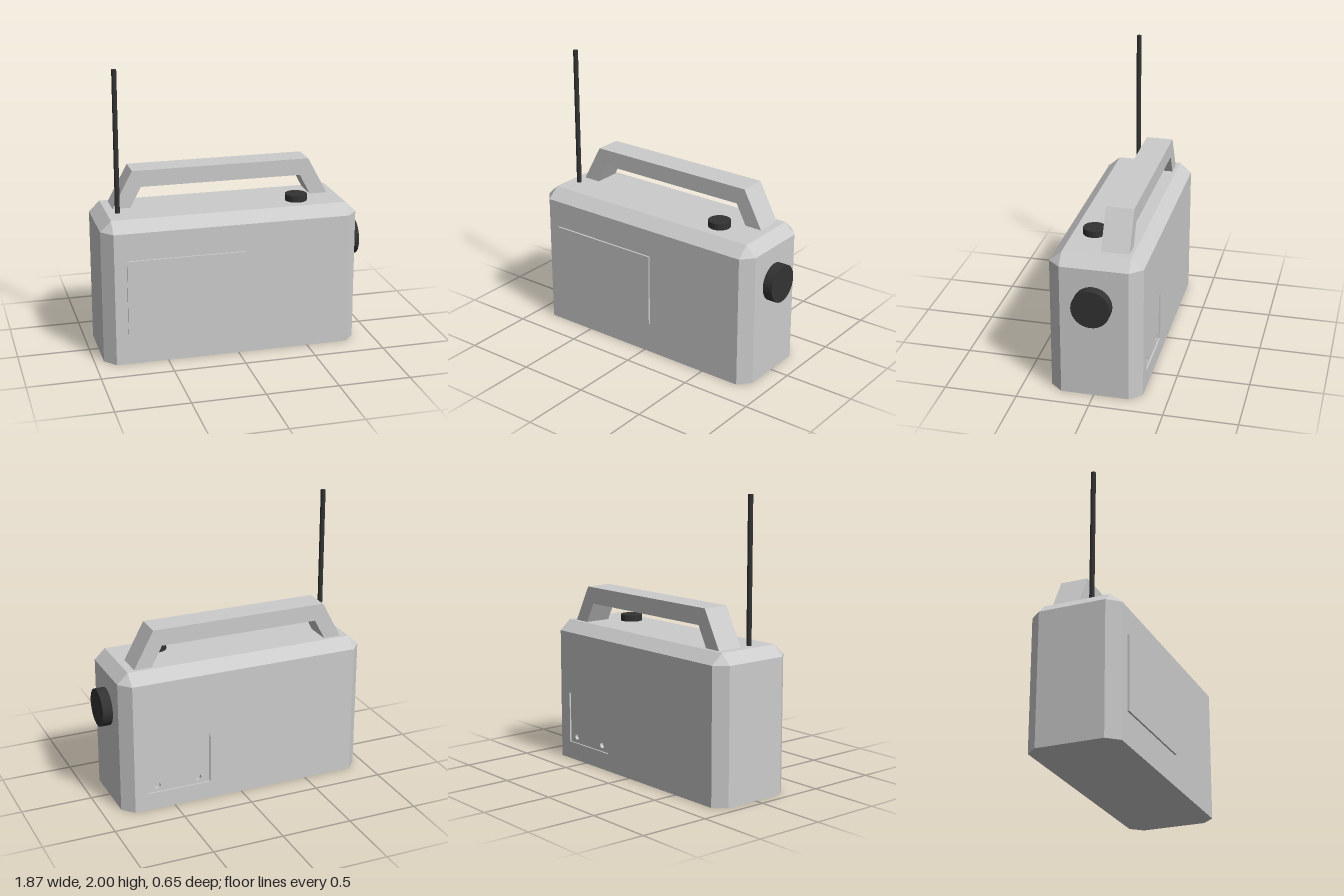
import * as THREE from 'three';

const grey = new THREE.MeshStandardMaterial({ color: 0xcccccc });
const dark = new THREE.MeshStandardMaterial({ color: 0x333333 });

// case extents, and the inner lines where the chamfers start
const X0 = -0.935, X1 = 0.865, Z0 = -0.323, Z1 = 0.31, H = 1.01;
const x0 = -0.86, x1 = 0.79, z0 = -0.24, z1 = 0.225, h = 0.937;

function add(group, name, geometry, material, x = 0, y = 0, z = 0) {
  const mesh = new THREE.Mesh(geometry, material);
  mesh.name = name;
  mesh.position.set(x, y, z);
  group.add(mesh);
  return mesh;
}

const polygon = (pts) => new THREE.Shape(pts.map(([x, y]) => new THREE.Vector2(x, y)));
const rect = (l, b, r, t) => polygon([[l, b], [r, b], [r, t], [l, t]]);
const extrude = (shape, depth) =>
  new THREE.ExtrudeGeometry(shape, { depth, bevelEnabled: false, curveSegments: 8 });

// Eight-sided shell whose upper rim slopes in to a rectangle; the back wall is left open
function shellGeometry() {
  const outer = [[x0, Z1], [x1, Z1], [X1, z1], [X1, z0], [x1, Z0], [x0, Z0], [X0, z0], [X0, z1]];
  const inner = [[x0, z1], [x1, z1], [x1, z1], [x1, z0], [x1, z0], [x0, z0], [x0, z0], [x0, z1]];
  const ring = (pts, y) => pts.map(([x, z]) => [x, y, z]);
  const low = ring(outer, 0), mid = ring(outer, h), top = ring(inner, H);
  const pos = [];
  const tri = (a, b, c) => pos.push(...a, ...b, ...c);
  for (let i = 0; i < 8; i++) {
    const j = (i + 1) % 8;
    if (i !== 4) {
      tri(low[i], low[j], mid[j]);
      tri(low[i], mid[j], mid[i]);
    }
    tri(mid[i], mid[j], top[j]);
    if (i % 2 === 0) tri(mid[i], top[j], top[i]);
    if (i > 0 && i < 7) tri(low[0], low[i + 1], low[i]);
  }
  tri(top[0], top[1], top[3]);
  tri(top[0], top[3], top[5]);
  const g = new THREE.BufferGeometry();
  g.setAttribute('position', new THREE.Float32BufferAttribute(pos, 3));
  g.computeVertexNormals();
  return g;
}

export function createModel() {
  const group = new THREE.Group();
  group.name = 'portableRadio';

  add(group, 'caseShell', shellGeometry(), grey);

  // back wall with a shallow recess, its floor pierced by two small sockets
  const recess = [0.235, 0.125, 0.69, 0.49];
  const back = rect(x0, 0, x1, h);
  back.holes.push(rect(...recess));
  add(group, 'backWall', extrude(back, 0.012), grey, 0, 0, Z0);
  const floor = rect(...recess);
  for (const x of [0.32, 0.62]) {
    floor.holes.push(new THREE.Path().absarc(x, 0.17, 0.022, 0, Math.PI * 2, true));
  }
  add(group, 'recessFloor', extrude(floor, 0.025), grey, 0, 0, Z0 + 0.012);
  add(group, 'socketBottoms', new THREE.BoxGeometry(0.455, 0.365, 0.01), grey, 0.4625, 0.3075, Z0 + 0.042);

  // raised panel on the front
  add(group, 'frontPanel', new THREE.BoxGeometry(0.825, 0.525, 0.023), grey, -0.3625, 0.4825, 0.3115);

  // carrying handle
  const handle = polygon([
    [-0.805, H], [-0.68, H], [-0.605, 1.153], [0.535, 1.153],
    [0.61, H], [0.735, H], [0.595, 1.27], [-0.665, 1.27],
  ]);
  add(group, 'handle', extrude(handle, 0.19), grey, 0, 0, -0.215);

  // controls and antenna
  add(group, 'topKnob', new THREE.CylinderGeometry(0.077, 0.077, 0.045, 32), dark, 0.473, H + 0.0225, 0.083);
  add(group, 'sideKnob', new THREE.CylinderGeometry(0.132, 0.132, 0.07, 32), dark, 0.9, 0.682, 0)
    .rotation.z = -Math.PI / 2;
  add(group, 'antenna', new THREE.CylinderGeometry(0.017, 0.017, 2 - H, 16), dark, -0.787, (2 + H) / 2, 0.065);

  return group;
}
